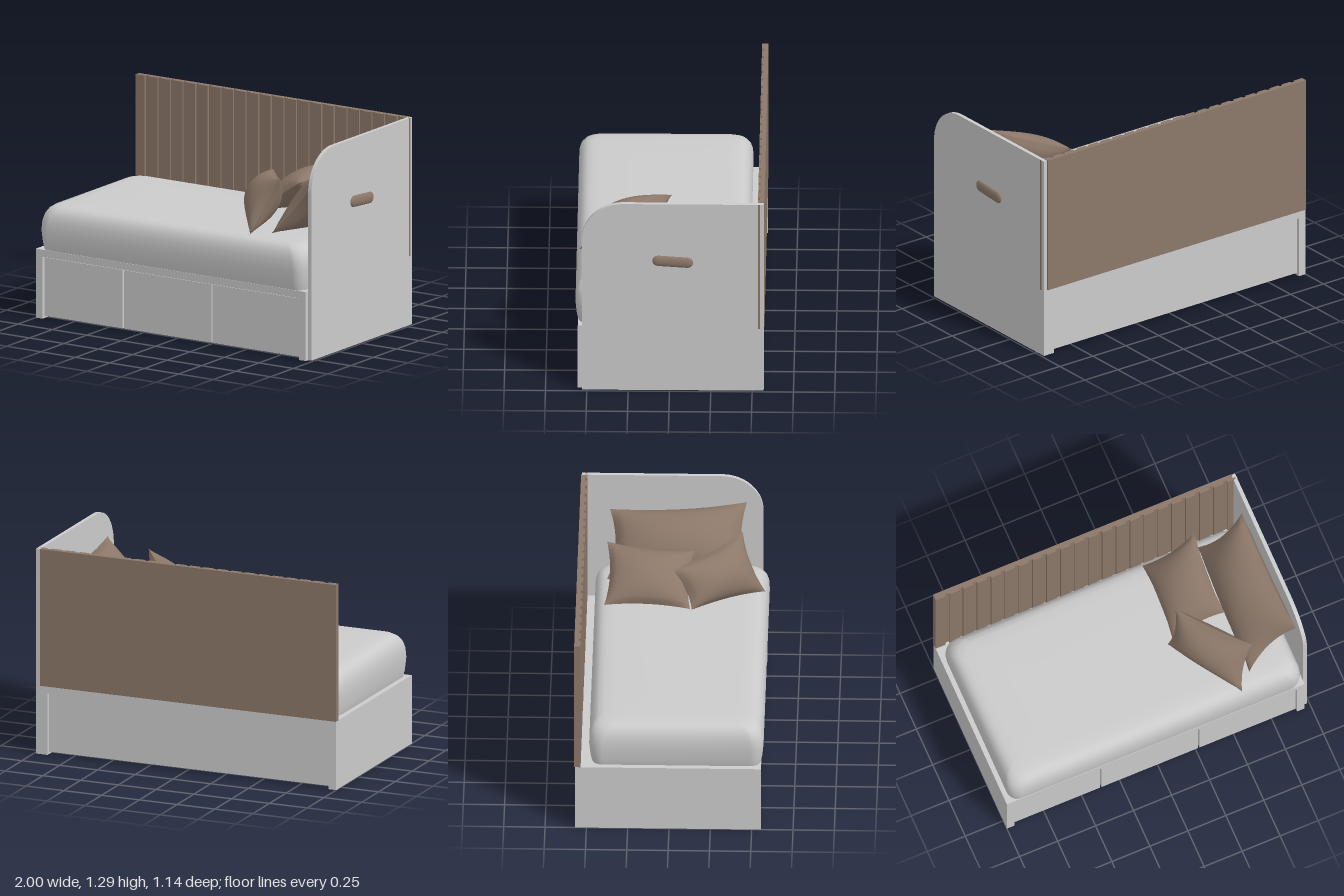
import * as THREE from 'three';
import { mergeGeometries, mergeVertices } from 'three/addons/utils/BufferGeometryUtils.js';

const white = new THREE.MeshStandardMaterial({ color: 0xcbcbcb });
white.name = 'paleGrey';
const brown = new THREE.MeshStandardMaterial({ color: 0x8c7869 });
brown.name = 'warmBrown';

function add(parent, name, geometry, material) {
  const mesh = new THREE.Mesh(geometry, material);
  mesh.name = name;
  parent.add(mesh);
  return mesh;
}

// Box given by its minimum and maximum on each axis
function box(parent, name, material, [x0, x1], [y0, y1], [z0, z1]) {
  const g = new THREE.BoxGeometry(x1 - x0, y1 - y0, z1 - z0);
  g.translate((x0 + x1) / 2, (y0 + y1) / 2, (z0 + z1) / 2);
  return add(parent, name, g, material);
}

// Soft mattress lofted from rounded rectangles: [height, inset, corner radius]
function mattressGeometry() {
  const rows = [
    [0.43, 0.018, 0.06], [0.47, 0.008, 0.07], [0.55, 0, 0.075], [0.61, 0.003, 0.08],
    [0.65, 0.013, 0.085], [0.68, 0.03, 0.09], [0.698, 0.055, 0.09], [0.707, 0.09, 0.09],
    [0.711, 0.16, 0.08], [0.712, 0.3, 0.05], [0.712, 0.5, 0.01],
  ];
  const cx = -0.018, cz = 0.0425, hx = 0.966, hz = 0.5275, steps = 8;
  const n = 4 * (steps + 1), pos = [], index = [];
  rows.forEach(([y, inset, r], j) => {
    for (let q = 0; q < 4; q++) {
      const sx = q === 0 || q === 3 ? 1 : -1, sz = q < 2 ? 1 : -1;
      for (let s = 0; s <= steps; s++) {
        const a = (q + s / steps) * Math.PI / 2;
        pos.push(cx + sx * (hx - inset - r) + r * Math.cos(a), y, cz + sz * (hz - inset - r) + r * Math.sin(a));
      }
    }
    if (j === 0) return;
    for (let i = 0; i < n; i++) {
      const a = (j - 1) * n + i, b = (j - 1) * n + (i + 1) % n;
      index.push(a, a + n, b, b, a + n, b + n);
    }
  });
  // close the top
  const c = pos.length / 3, top = (rows.length - 1) * n;
  pos.push(cx, 0.712, cz);
  for (let i = 0; i < n; i++) index.push(c, top + (i + 1) % n, top + i);
  const g = new THREE.BufferGeometry();
  g.setAttribute('position', new THREE.Float32BufferAttribute(pos, 3));
  g.setIndex(index);
  g.computeVertexNormals();
  return g;
}

// Pillow stretched between four corners, with hollow edges and a plump middle
function pillow(parent, name, corners, thick) {
  const [bl, br, tr, tl] = corners.map((p) => new THREE.Vector3(...p));
  const normal = br.clone().sub(bl).cross(tl.clone().sub(bl)).normalize();
  const halves = [1, -1].map((side) => {
    const g = new THREE.PlaneGeometry(2, 2, 24, 24);
    const p = g.attributes.position;
    for (let i = 0; i < p.count; i++) {
      const u = p.getX(i) * side, v = p.getY(i);
      const puff = Math.pow(Math.max(0, (1 - u * u) * (1 - v * v)), 0.58);
      const s = (1 + u * (1 - 0.1 * (1 - v * v))) / 2;
      const t = (1 + v * (1 - 0.1 * (1 - u * u))) / 2;
      const low = bl.clone().lerp(br, s), high = tl.clone().lerp(tr, s);
      const q = low.lerp(high, t).addScaledVector(normal, side * thick * puff);
      p.setXYZ(i, q.x, q.y, q.z);
    }
    g.deleteAttribute('uv');
    g.deleteAttribute('normal');
    const m = mergeVertices(g, 1e-6);
    m.computeVertexNormals();
    return m;
  });
  return add(parent, name, mergeGeometries(halves), brown);
}

export function createModel() {
  const model = new THREE.Group();
  model.name = 'daybed';

  // Base cabinet
  const base = new THREE.Group();
  base.name = 'base';
  model.add(base);
  box(base, 'leftEnd', white, [-1, -0.95], [0, 0.43], [-0.57, 0.555]);
  box(base, 'rightEnd', white, [0.91, 0.96], [0, 0.43], [-0.57, 0.555]);
  box(base, 'topRail', white, [-0.95, 0.91], [0.385, 0.43], [-0.57, 0.555]);
  box(base, 'carcass', white, [-0.95, 0.91], [0.015, 0.385], [-0.55, 0.515]);

  // Drawer fronts with narrow gaps
  const splits = [-0.95, -0.375, 0.27, 0.91];
  for (let i = 0; i < 3; i++) {
    box(base, 'drawerFront', white, [splits[i] + 0.004, splits[i + 1] - 0.004], [0.015, 0.379], [0.515, 0.54]);
  }

  // Tall end panel with a rounded front corner
  const shape = new THREE.Shape();
  shape.moveTo(-0.57, 0);
  shape.lineTo(0.53, 0);
  shape.lineTo(0.53, 1.04);
  shape.absarc(0.28, 1.04, 0.25, 0, Math.PI / 2, false);
  shape.lineTo(-0.57, 1.29);
  shape.closePath();
  const panel = new THREE.ExtrudeGeometry(shape, { depth: 0.024, bevelEnabled: false, curveSegments: 16 });
  panel.rotateY(-Math.PI / 2).translate(0.985, 0, 0);
  add(model, 'endPanel', panel, white);

  // Slatted back; the last slat runs through the end panel
  const back = new THREE.Group();
  back.name = 'back';
  model.add(back);
  box(back, 'backBoard', brown, [-1, 0.957], [0.43, 1.29], [-0.574, -0.548]);
  for (let i = 0; i < 22; i++) {
    const x = -1 + i * 0.0915;
    box(back, 'slat', brown, [x, x + 0.0655], [0.43, 1.29], [-0.548, -0.535]);
  }

  add(model, 'mattress', mattressGeometry(), white);

  // Pillows
  const pillows = new THREE.Group();
  pillows.name = 'pillows';
  model.add(pillows);
  pillow(pillows, 'largePillow', [[0.67, 0.73, -0.41], [0.64, 0.73, 0.45], [0.957, 1.11, 0.43], [0.957, 1.05, -0.4]], 0.14);
  pillow(pillows, 'rearPillow', [[0.31, 0.77, -0.42], [0.29, 0.76, 0.1], [0.62, 0.97, 0.12], [0.65, 1.01, -0.41]], 0.1);
  pillow(pillows, 'frontPillow', [[0.25, 0.78, 0.11], [0.55, 0.73, 0.55], [0.68, 1.07, 0.41], [0.35, 1.0, -0.01]], 0.11);

  // Part of the large pillow showing through the end panel
  const bulge = new THREE.CapsuleGeometry(0.036, 0.175, 8, 16);
  bulge.rotateX(Math.PI / 2 - 0.07).scale(0.45, 1, 1).translate(0.984, 0.892, -0.02);
  add(pillows, 'pillowBulge', bulge, brown);

  return model;
}
